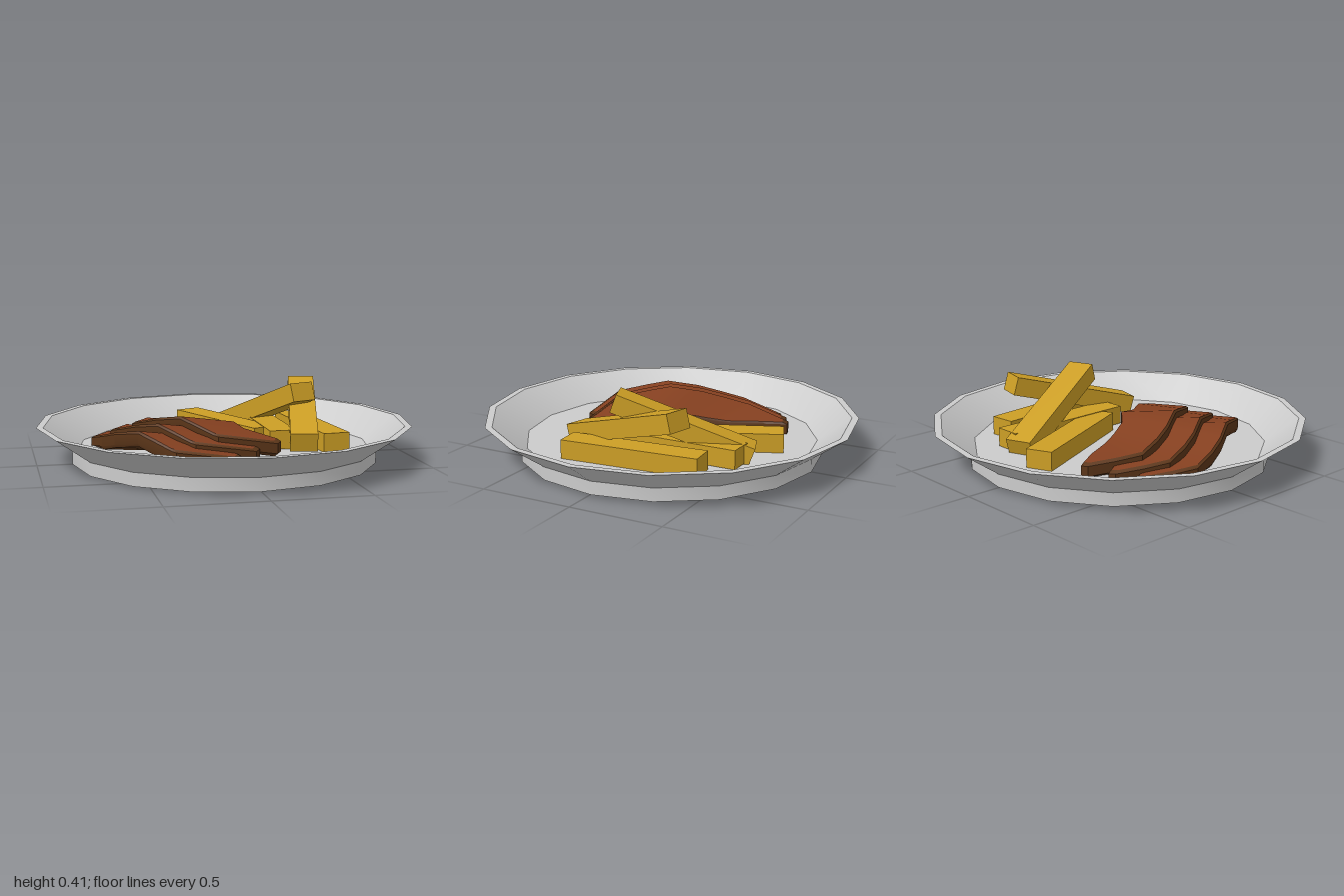
import * as THREE from 'three';
import { toCreasedNormals } from 'three/addons/utils/BufferGeometryUtils.js';

const material = (color, side = THREE.FrontSide) => new THREE.MeshStandardMaterial({ color, side });

function addMesh(parent, name, geometry, mat) {
  const mesh = new THREE.Mesh(geometry, mat);
  mesh.name = name;
  parent.add(mesh);
  return mesh;
}

// Sixteen-sided dish with a flared rim and a recessed foot
function createPlate() {
  const profile = [
    [0, 0.04], [0.785, 0.04], [0.785, 0], [0.815, 0], [0.815, 0.07],
    [1, 0.2], [0.963, 0.2], [0.785, 0.07], [0, 0.07],
  ].map(([r, y]) => new THREE.Vector2(r, y));
  return toCreasedNormals(new THREE.LatheGeometry(profile, 16), 0.5);
}

// Stations along a slice: left x, z, top height, then right x, z, top height
const STATIONS = [
  [-0.35, -0.535, 0.145, -0.31, -0.545, 0.14],
  [-0.41, -0.40, 0.155, -0.25, -0.44, 0.145],
  [-0.46, -0.27, 0.168, -0.17, -0.27, 0.145],
  [-0.42, -0.12, 0.20, -0.12, -0.16, 0.16],
  [-0.37, 0, 0.23, -0.05, -0.03, 0.185],
  [-0.27, 0.16, 0.26, 0.05, 0.06, 0.205],
  [-0.21, 0.27, 0.238, 0.08, 0.18, 0.188],
  [-0.14, 0.39, 0.21, 0.22, 0.36, 0.16],
  [-0.12, 0.412, 0.205, 0.19, 0.412, 0.158],
];
const N = STATIONS.length;
const OUTLINE = [
  ...STATIONS.map(([x, z, y]) => [x, y, z]),
  ...STATIONS.map((s) => [s[3], s[5], s[4]]).reverse(),
];

function toGeometry(positions, index) {
  const g = new THREE.BufferGeometry();
  g.setAttribute('position', new THREE.Float32BufferAttribute(positions, 3));
  g.setIndex(index);
  return toCreasedNormals(g, 0.5);
}

// The slice outline, inset and lowered; the underside rests on the dish floor
function ring(scale, drop, lift) {
  const cx = -0.14, cz = 0;
  return OUTLINE.flatMap(([x, y, z]) => [
    cx + (x - cx) * scale, Math.max(y - drop, 0.072 - lift), cz + (z - cz) * scale,
  ]);
}

// Quads between paired left and right points
function capIndex(offset, up) {
  const index = [];
  for (let i = 0; i < N - 1; i++) {
    const a = offset + i, b = a + 1, c = offset + 2 * N - 2 - i, d = c + 1;
    index.push(...(up ? [a, b, c, a, c, d] : [a, c, b, a, d, c]));
  }
  return index;
}

function createSlice(name, x, y, z) {
  const slice = new THREE.Group();
  slice.name = name;
  slice.position.set(x, y, z);

  // Crust: underside, side wall and bevelled edge
  const rings = [ring(0.96, 0.08, y), ring(1, 0.065, y), ring(1, 0.012, y), ring(0.95, 0, y)];
  const index = capIndex(0, false), count = 2 * N;
  for (let k = 0; k < rings.length - 1; k++) {
    for (let i = 0; i < count; i++) {
      const j = (i + 1) % count;
      const a = k * count + i, b = k * count + j;
      index.push(a, b, b + count, a, b + count, a + count);
    }
  }
  addMesh(slice, 'sliceCrust', toGeometry(rings.flat(), index), material(0x5c3619));

  // Folded top face
  addMesh(slice, 'sliceTop', toGeometry(rings[3], capIndex(0, true)), material(0x854020));
  return slice;
}

// Stick centred at a point, pointing along (dx, dz) and raised by pitch
function createFry(name, [x, y, z], [dx, dz], pitch, parent, geometry, mat) {
  const fry = addMesh(parent, name, geometry, mat);
  fry.position.set(x, y, z);
  fry.rotation.set(-pitch, Math.atan2(dx, dz), 0, 'YXZ');
}

export function createModel() {
  const model = new THREE.Group();
  model.name = 'plateOfFood';
  addMesh(model, 'plate', createPlate(), material(0xcccccc));

  // Meat slices fanned over one another
  const slices = new THREE.Group();
  slices.name = 'meatSlices';
  slices.add(
    createSlice('topSlice', 0, 0, 0),
    createSlice('middleSlice', -0.128, -0.022, 0.065),
    createSlice('bottomSlice', -0.24, -0.042, 0.145),
  );
  model.add(slices);

  // Three flat fries with two leaning across them
  const fries = new THREE.Group();
  fries.name = 'fries';
  const stick = new THREE.BoxGeometry(0.143, 0.1, 0.748);
  const gold = material(0xcc9e25);
  [
    ['leftFry', [0.065, 0.12, -0.28], [0.29, 0.68], 0],
    ['middleFry', [0.275, 0.123, -0.172], [0, 1], 0],
    ['rightFry', [0.502, 0.12, -0.057], [0.065, 0.745], 0],
    ['leaningFryFront', [0.285, 0.232, -0.228], [0.26, 0.68], 0.35],
    ['leaningFryBack', [0.43, 0.238, 0.025], [0.185, -0.715], 0.275],
  ].forEach(([name, at, dir, pitch]) => createFry(name, at, dir, pitch, fries, stick, gold));
  model.add(fries);
  return model;
}
